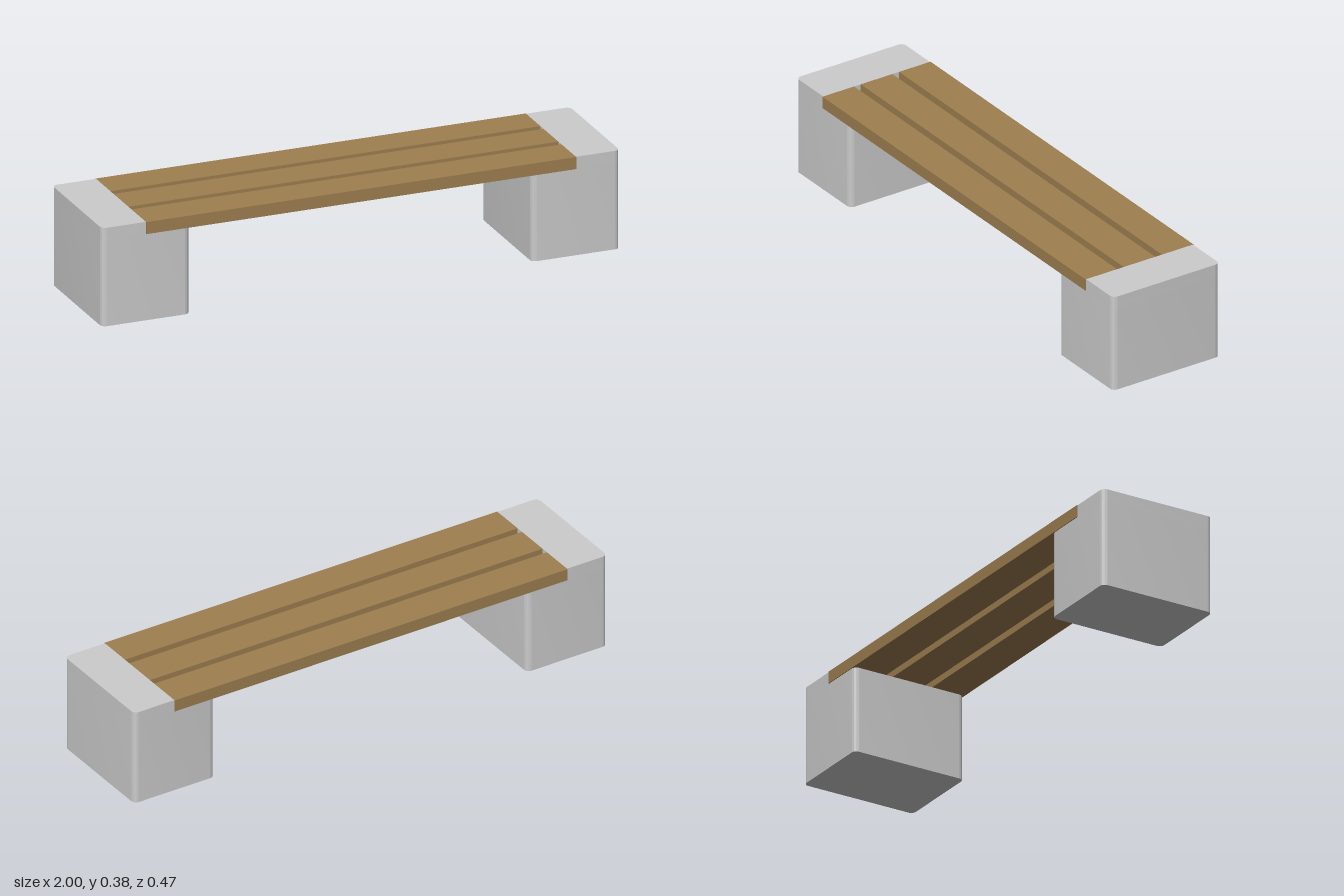
import * as THREE from 'three';
import { toCreasedNormals } from 'three/addons/utils/BufferGeometryUtils.js';

const HALF_DEPTH = 0.23, SEAT_BOTTOM = 0.33, TOP = 0.376, CORNER = 0.02;
const INNER = 0.66, NOTCH = 0.83, OUTER = 1;

// Upright prism with rounded outer corners and optionally rounded inner ones
function slab(x0, x1, y0, y1, innerR) {
  const d = HALF_DEPTH, r = CORNER, s = new THREE.Shape();
  s.moveTo(x0 + innerR, -d);
  s.lineTo(x1 - r, -d);
  s.absarc(x1 - r, -d + r, r, -Math.PI / 2, 0);
  s.lineTo(x1, d - r);
  s.absarc(x1 - r, d - r, r, 0, Math.PI / 2);
  s.lineTo(x0 + innerR, d);
  if (innerR) s.absarc(x0 + innerR, d - innerR, innerR, Math.PI / 2, Math.PI);
  s.lineTo(x0, -d + innerR);
  if (innerR) s.absarc(x0 + innerR, -d + innerR, innerR, Math.PI, Math.PI * 1.5);
  const geo = new THREE.ExtrudeGeometry(s, { depth: y1 - y0, bevelEnabled: false, curveSegments: 6 });
  geo.rotateX(-Math.PI / 2).translate(0, y0, 0);
  return toCreasedNormals(geo, Math.PI / 5);
}

export function createModel() {
  const bench = new THREE.Group();
  bench.name = 'bench';
  const concrete = new THREE.MeshStandardMaterial({ color: 0xcccccc });
  const wood = new THREE.MeshStandardMaterial({ color: 0x9f7f50 });

  // End blocks, stepped down on the inside to carry the planks
  const base = slab(INNER, OUTER, 0, SEAT_BOTTOM, CORNER);
  const cap = slab(NOTCH, OUTER, SEAT_BOTTOM, TOP, 0);
  for (const side of ['left', 'right']) {
    const block = new THREE.Group();
    block.name = side + 'Block';
    for (const [name, geo] of [['blockBase', base], ['blockCap', cap]]) {
      const mesh = new THREE.Mesh(geo, concrete);
      mesh.name = name;
      block.add(mesh);
    }
    if (side === 'right') block.rotation.y = Math.PI;
    bench.add(block);
  }

  // Three seat planks with narrow gaps
  const plankGeo = new THREE.BoxGeometry(NOTCH * 2, TOP - SEAT_BOTTOM, 0.136);
  ['backPlank', 'middlePlank', 'frontPlank'].forEach((name, i) => {
    const plank = new THREE.Mesh(plankGeo, wood);
    plank.name = name;
    plank.position.set(0, (TOP + SEAT_BOTTOM) / 2, (i - 1) * 0.165);
    bench.add(plank);
  });
  return bench;
}
